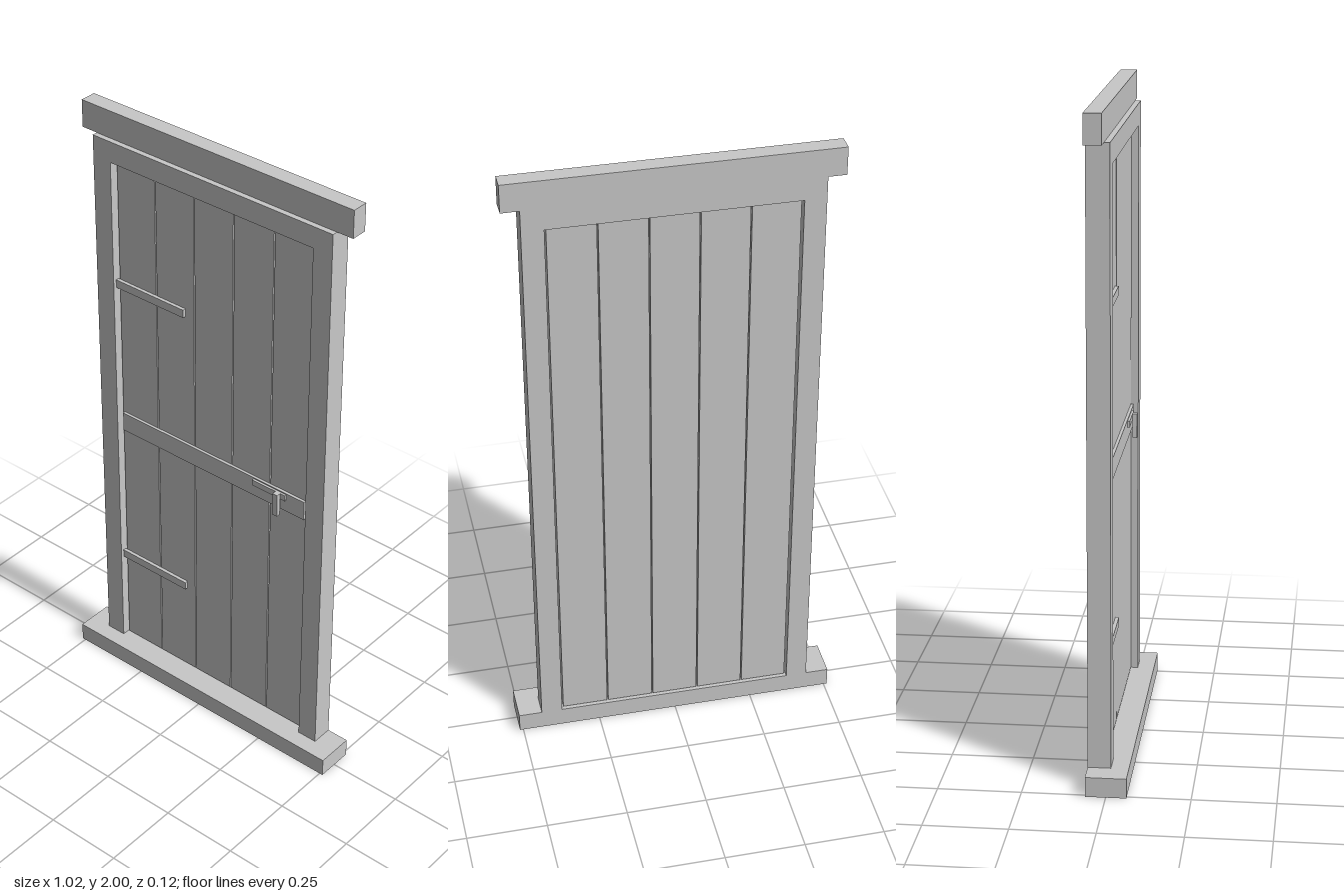
import * as THREE from 'three';

export function createModel() {
  const model = new THREE.Group();
  model.name = 'plankDoor';
  const grey = new THREE.MeshStandardMaterial({ color: 0xc8c8c8 });
  grey.name = 'plain grey';

  // Box given by its limits on each axis
  function box(name, x0, x1, y0, y1, z0, z1) {
    const mesh = new THREE.Mesh(new THREE.BoxGeometry(x1 - x0, y1 - y0, z1 - z0), grey);
    mesh.position.set((x0 + x1) / 2, (y0 + y1) / 2, (z0 + z1) / 2);
    mesh.name = name;
    model.add(mesh);
  }

  // Sill and lintel
  box('sill', -0.511, 0.511, 0, 0.061, -0.061, 0.061);
  box('lintel', -0.493, 0.493, 1.912, 2, -0.061, -0.009);

  // Frame: two jambs and a head
  box('rightJamb', -0.438, -0.372, 0.061, 1.912, -0.061, 0.008);
  box('leftJamb', 0.372, 0.438, 0.061, 1.912, -0.061, 0.008);
  box('frameHead', -0.372, 0.372, 1.844, 1.912, -0.061, 0.008);

  // Five planks with thin tongues closing the grooves between them
  const count = 5, left = -0.366, pitch = 0.1472, groove = 0.004;
  for (let i = 0; i < count; i++) {
    const x = left + i * pitch;
    const end = x + pitch - groove;
    box('plank', x, end, 0.065, 1.84, -0.052, -0.014);
    if (i < count - 1) box('tongue', end, end + groove, 0.065, 1.835, -0.038, -0.028);
  }

  // Cross rail and hinge straps
  box('crossRail', -0.36, 0.357, 0.895, 0.96, -0.014, -0.005);
  for (const y of [0.385, 1.415]) box('hingeStrap', -0.374, -0.108, y, y + 0.027, -0.014, -0.003);

  // Latch bar and handle
  box('latchBar', 0.165, 0.29, 0.936, 0.956, -0.005, 0.002);
  box('handle', 0.254, 0.272, 0.878, 0.956, 0.002, 0.016);

  return model;
}
